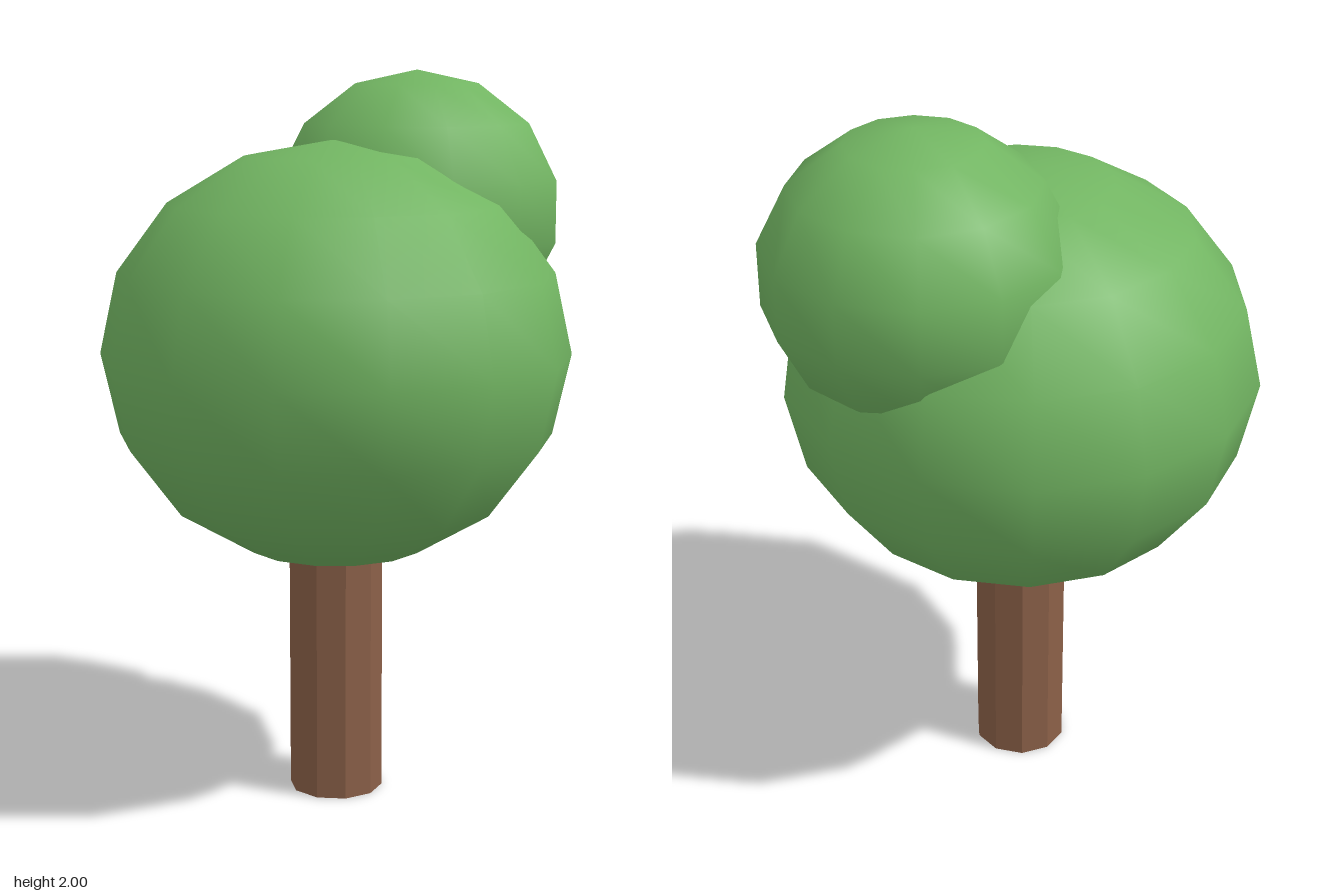
import * as THREE from 'three';

const leafMaterial = new THREE.MeshStandardMaterial({ color: 0x72b562 });
const barkMaterial = new THREE.MeshStandardMaterial({ color: 0x8b6048, flatShading: true });

// Smooth, low-segment ball of leaves, squashed to its vertical radius
function foliage(name, [x, y, z], radius, radiusY, segments, rings, turn = 0) {
  const geometry = new THREE.SphereGeometry(1, segments, rings);
  geometry.rotateY(turn).scale(radius, radiusY, radius);
  const mesh = new THREE.Mesh(geometry, leafMaterial);
  mesh.name = name;
  mesh.position.set(x, y, z);
  return mesh;
}

export function createModel() {
  const tree = new THREE.Group();
  tree.name = 'tree';

  // Ten-sided trunk reaching up into the crown
  const trunkHeight = 0.9;
  const trunk = new THREE.Mesh(new THREE.CylinderGeometry(0.13, 0.13, trunkHeight, 10), barkMaterial);
  trunk.name = 'trunk';
  trunk.position.set(-0.02, trunkHeight / 2, 0);
  tree.add(trunk);

  // Main crown, and a smaller clump at its upper back left
  tree.add(foliage('mainCrown', [-0.02, 1.24, 0], 0.645, 0.58, 14, 8, Math.PI / 2));
  tree.add(foliage('upperCrown', [0.25, 1.615, -0.18], 0.41, 0.385, 12, 7));

  return tree;
}
